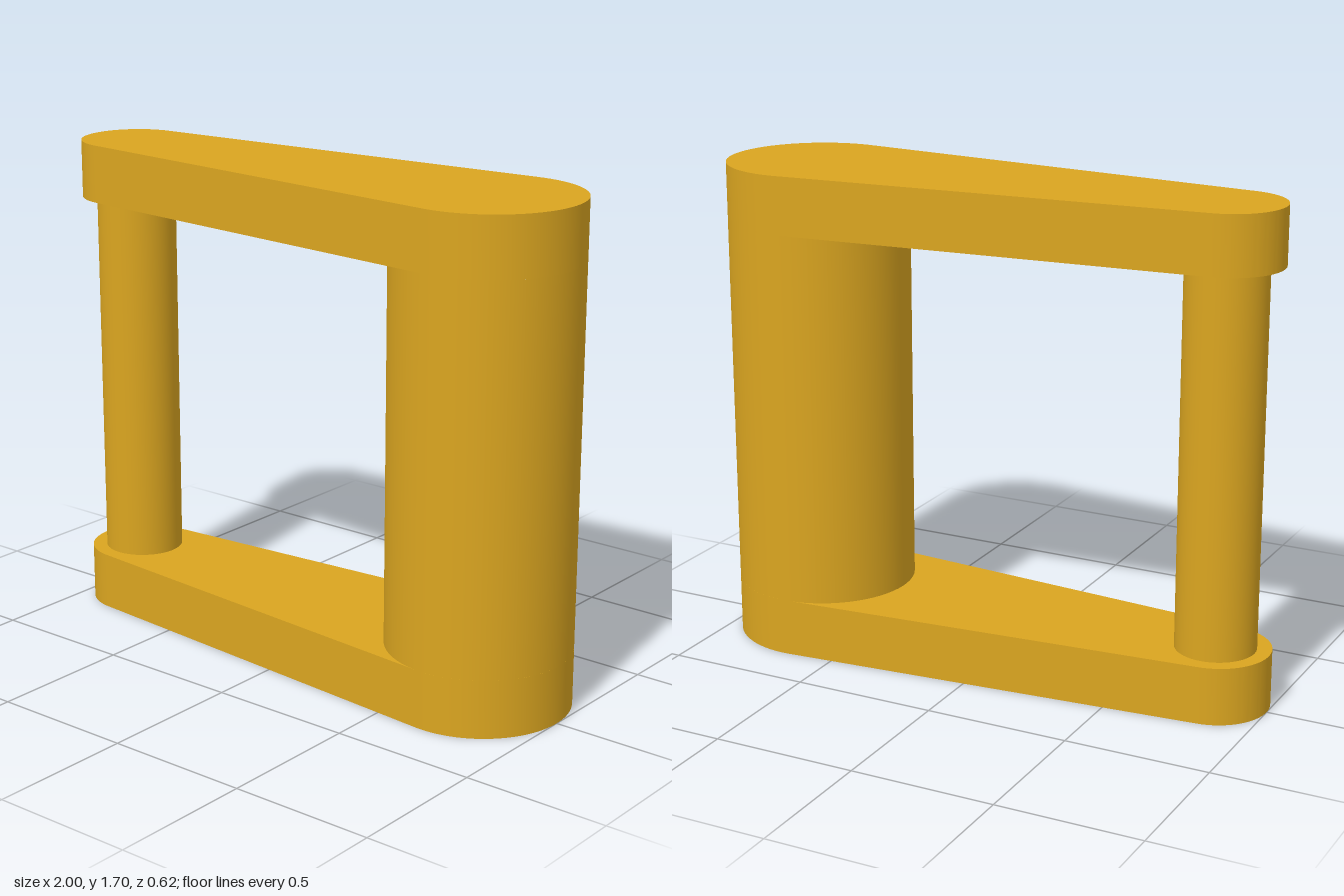
import * as THREE from 'three';
import { toCreasedNormals } from 'three/addons/utils/BufferGeometryUtils.js';

const HEIGHT = 1.7, PLATE = 0.2;
const BIG = { x: 0.6875, r: 0.3125 };
const SMALL = { x: -0.8125, r: 0.1875 };
const PIN_RADIUS = 0.1375;

export function createModel() {
  const group = new THREE.Group();
  const material = new THREE.MeshStandardMaterial({ color: 0xdaa520 });

  const add = (name, geometry, x, y) => {
    const mesh = new THREE.Mesh(geometry, material);
    mesh.name = name;
    mesh.position.set(x, y, 0);
    group.add(mesh);
  };

  // Tapered plate outline: two round ends joined by their common tangents
  const a = Math.PI / 2 + Math.asin((BIG.r - SMALL.r) / (BIG.x - SMALL.x));
  const outline = new THREE.Shape();
  outline.absarc(BIG.x, 0, BIG.r, -a, a, false);
  outline.absarc(SMALL.x, 0, SMALL.r, a, 2 * Math.PI - a, false);
  outline.closePath();
  const plate = toCreasedNormals(
    new THREE.ExtrudeGeometry(outline, { depth: PLATE, bevelEnabled: false, curveSegments: 32 })
      .rotateX(-Math.PI / 2), 0.5);
  add('bottomPlate', plate, 0, 0);
  add('topPlate', plate, 0, HEIGHT - PLATE);

  // Round posts between the plates
  const post = (name, x, r) => add(name,
    new THREE.CylinderGeometry(r, r, HEIGHT - 2 * PLATE, 64, 1, true), x, HEIGHT / 2);
  post('mainPost', BIG.x, BIG.r);
  post('pin', SMALL.x, PIN_RADIUS);

  return group;
}
